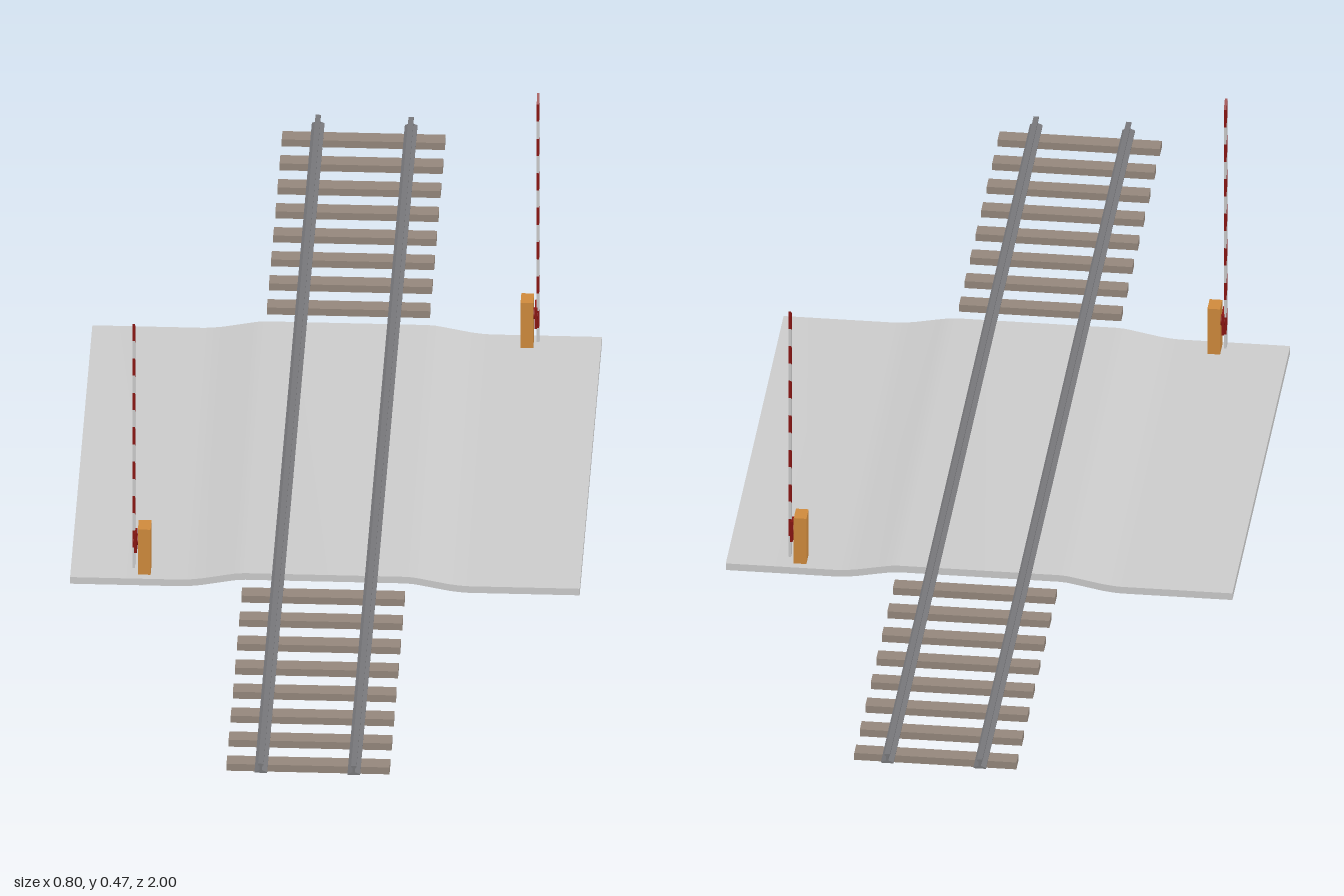
import * as THREE from 'three';
import { toCreasedNormals } from 'three/addons/utils/BufferGeometryUtils.js';

const mat = (color) => new THREE.MeshStandardMaterial({ color });
const MATS = {
  road: mat(0xcccccc), rail: mat(0x77777a), sleeper: mat(0x94877c),
  post: mat(0xcf8a3c), red: mat(0x8a1512), white: mat(0xe6e6e6),
};

// Extrude a closed outline along z, centred on z = 0.
function extrude(points, depth) {
  const shape = new THREE.Shape(points.map(([x, y]) => new THREE.Vector2(x, y)));
  return new THREE.ExtrudeGeometry(shape, { depth, bevelEnabled: false }).translate(0, 0, -depth / 2);
}

function add(parent, name, geometry, material, x = 0, y = 0, z = 0) {
  const mesh = new THREE.Mesh(geometry, material);
  mesh.name = name;
  mesh.position.set(x, y, z);
  parent.add(mesh);
  return mesh;
}

// Mirror a half outline (running bottom to top on the right) across x = 0.
const mirrored = (half) => [...half, ...half.slice().reverse().map(([x, y]) => [-x, y])];

// Post with an upright striped arm; the arm stands on the outer (+x) side.
function createBarrier() {
  const g = new THREE.Group();
  g.name = 'barrier';
  add(g, 'post', new THREE.BoxGeometry(0.02, 0.082, 0.03), MATS.post, 0.284, 0.054, 0);

  // Slanted stripes, drawn in the z/y plane and turned to face sideways.
  const bottom = 0.02, top = 0.459, count = 14, step = (top - bottom) / count;
  const w = 0.0075, slant = 0.006;
  for (let i = 0; i < count; i++) {
    const a = bottom + i * step, b = a + step;
    const outline = [[-w, i ? a - slant : a], [w, i ? a + slant : a], [w, b + slant], [-w, b - slant]];
    const stripe = extrude(outline, 0.004).rotateY(Math.PI / 2);
    add(g, 'armStripe', stripe, i % 2 ? MATS.red : MATS.white, 0.301, 0, 0);
  }

  // Pivot and counterweight plate at the foot of the arm
  add(g, 'pivot', new THREE.CylinderGeometry(0.009, 0.009, 0.008, 12).rotateZ(Math.PI / 2), MATS.red, 0.297, 0.068, 0);
  const weight = extrude([[-0.012, 0.046], [0.012, 0.05], [0.012, 0.086], [-0.012, 0.082]], 0.004);
  add(g, 'counterweight', weight.rotateY(Math.PI / 2), MATS.red, 0.298, 0, 0);
  return g;
}

export function createModel() {
  const model = new THREE.Group();
  model.name = 'levelCrossing';

  // Road slab rising gently over the track
  const topLine = [[0.4, 0.012], [0.225, 0.012], [0.212, 0.0128], [0.195, 0.0149],
    [0.15, 0.0236], [0.138, 0.0257], [0.125, 0.0265]];
  const upper = [...topLine, ...topLine.slice().reverse().map(([x, y]) => [-x, y])];
  const lower = upper.slice().reverse().map(([x, y]) => [x, y - 0.012]);
  add(model, 'road', toCreasedNormals(extrude([...upper, ...lower], 0.776), 0.5), MATS.road);

  // Sleepers, running on below the road
  const sleeper = new THREE.BoxGeometry(0.256, 0.0125, 0.026);
  for (let i = -13; i <= 13; i++) {
    add(model, 'sleeper', sleeper, MATS.sleeper, 0, 0.0199, i * 0.074);
  }

  // Rails with foot, web and head
  const rail = extrude(mirrored([[0.01, 0.026], [0.01, 0.0275], [0.0018, 0.031],
    [0.0018, 0.0385], [0.0042, 0.0395], [0.0042, 0.0425]]), 2);
  for (const side of [-1, 1]) add(model, 'rail', rail, MATS.rail, side * 0.073, 0, 0);

  // Barriers at opposite corners
  for (const turn of [0, Math.PI]) {
    const corner = new THREE.Group();
    corner.name = 'barrierCorner';
    const barrier = createBarrier();
    barrier.position.z = -0.362;
    corner.add(barrier);
    corner.rotation.y = turn;
    model.add(corner);
  }
  return model;
}
